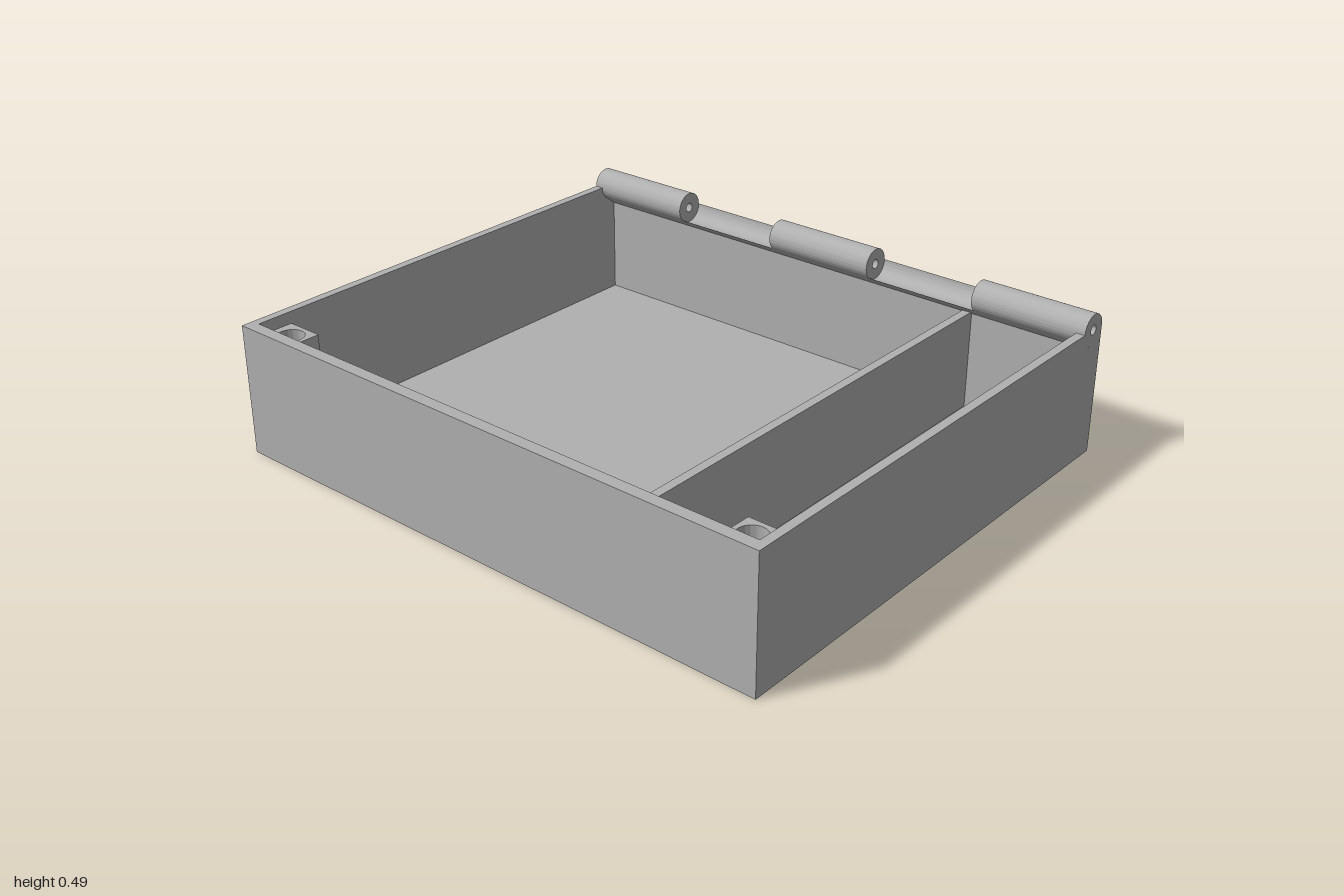
import * as THREE from 'three';
import { toCreasedNormals } from 'three/addons/utils/BufferGeometryUtils.js';

const HINGE = { u: 0.801, y: 0.44, r: 0.053, end: Math.PI + 0.825 };
const FLOOR = 0.033, RIM = 0.44, INNER = 0.813;

export function createModel() {
  const model = new THREE.Group();
  model.name = 'hingedBox';
  const grey = new THREE.MeshStandardMaterial({ color: 0xb0b0b0 });
  grey.name = 'plain grey';

  const add = (name, geometry) => {
    const mesh = new THREE.Mesh(geometry, grey);
    mesh.name = name;
    model.add(mesh);
    return mesh;
  };
  const box = (name, x0, x1, y0, y1, z0, z1) =>
    add(name, new THREE.BoxGeometry(x1 - x0, y1 - y0, z1 - z0))
      .position.set((x0 + x1) / 2, (y0 + y1) / 2, (z0 + z1) / 2);
  const extrude = (shape, depth) => toCreasedNormals(
    new THREE.ExtrudeGeometry(shape, { depth, bevelEnabled: false, curveSegments: 40 }), 0.5);

  // Side profile (u = -z, v = y) swept along x
  const sweepX = (name, shape, x0, x1) =>
    add(name, extrude(shape, x1 - x0).rotateY(Math.PI / 2).translate(x0, 0, 0));
  // Plan shape (u = x, v = -z) raised along y
  const raise = (name, shape, y0, y1) =>
    add(name, extrude(shape, y1 - y0).rotateX(-Math.PI / 2).translate(0, y0, 0));
  const rectangle = (x0, x1, z0, z1) => new THREE.Shape([
    [x0, -z1], [x1, -z1], [x1, -z0], [x0, -z0]].map(p => new THREE.Vector2(...p)));
  const circle = (x, y, r) => new THREE.Path().absarc(x, y, r, 0, Math.PI * 2, true);

  // Floor in two layers, with countersunk screw holes
  const screws = [[-0.68, 0.535], [0.25, 0.535]];
  const layers = [['floorBottom', 0, 0.008, 0.028], ['floorTop', 0.008, FLOOR, 0.057]];
  for (const [name, y0, y1, r] of layers) {
    const plan = rectangle(-0.97, 0.97, -0.81, INNER);
    for (const [x, z] of screws) plan.holes.push(circle(x, -z, r));
    raise(name, plan, y0, y1);
  }
  for (const [x, z] of screws) {
    const cone = [new THREE.Vector2(0.057, FLOOR), new THREE.Vector2(0.028, 0.008)];
    add('countersink', new THREE.LatheGeometry(cone, 40)).position.set(x, 0, z);
  }

  // Front wall and divider
  box('frontWall', -1, 1, 0, RIM, INNER, 0.854);
  box('divider', 0.54, 0.57, FLOOR, 0.372, -0.81, INNER);

  // Side walls, cut away around the hinge
  const side = new THREE.Shape();
  side.moveTo(-INNER, 0).lineTo(0.81, 0).lineTo(0.81, 0.366).lineTo(0.765, 0.401);
  side.lineTo(0.753, 0.418).lineTo(0.748, RIM).lineTo(-INNER, RIM);
  sweepX('rightWall', side, -1, -0.97);
  sweepX('leftWall', side, 0.97, 1);

  // Back wall: knuckles alternate with matching hollows
  for (let i = 0; i < 5; i++) {
    const knuckle = i % 2 === 0;
    const wall = new THREE.Shape();
    wall.moveTo(0.854, 0).lineTo(0.854, HINGE.y);
    wall.absarc(HINGE.u, HINGE.y, HINGE.r, 0,
      knuckle ? HINGE.end : HINGE.end - Math.PI * 2, !knuckle);
    wall.lineTo(0.81, 0.366).lineTo(0.81, 0);
    if (knuckle) wall.holes.push(circle(HINGE.u, HINGE.y, 0.016));
    sweepX(knuckle ? 'hingeKnuckle' : 'hingeHollow', wall, -1 + i * 0.4, -0.6 + i * 0.4);
  }

  // Front corner posts with round pockets
  for (const s of [-1, 1]) {
    const [x0, x1] = s < 0 ? [-0.97, -0.84] : [0.84, 0.97];
    box('cornerPost', x0, x1, FLOOR, 0.35, 0.692, INNER);
    const top = rectangle(x0, x1, 0.692, INNER);
    top.holes.push(circle(s * 0.9, -0.753, 0.045));
    raise('postPocket', top, 0.35, 0.4);
  }
  return model;
}
